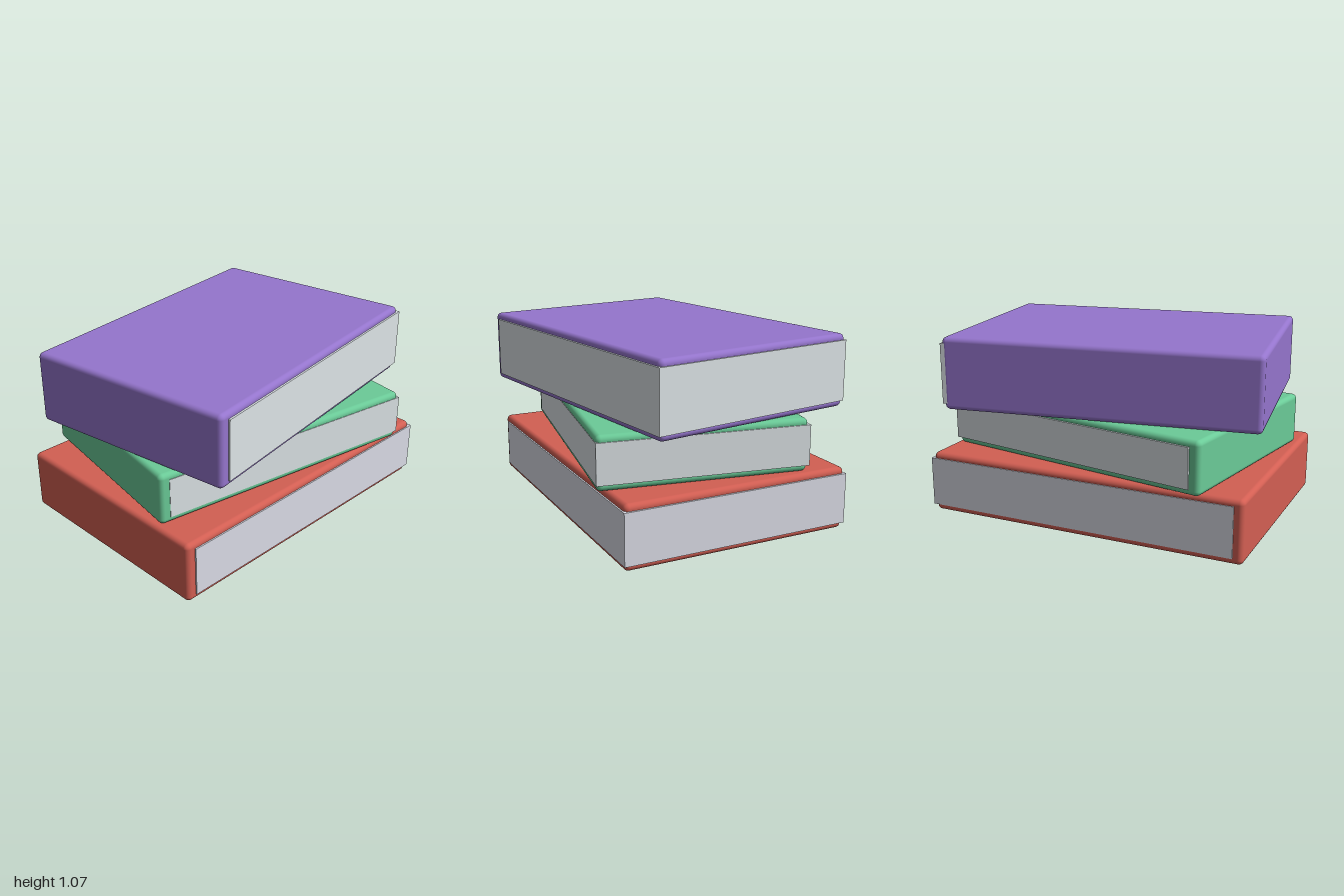
import * as THREE from 'three';
import { RoundedBoxGeometry } from 'three/addons/geometries/RoundedBoxGeometry.js';

function material(name, color) {
  const m = new THREE.MeshStandardMaterial({ color });
  m.name = name;
  return m;
}

export function createModel() {
  const model = new THREE.Group();
  model.name = 'bookStack';

  const red = material('red cover', 0xd35f53);
  const green = material('green cover', 0x6bcb98);
  const purple = material('purple cover', 0x9575cd);
  const paper = material('paper', 0xdfe6e9);
  const coolPaper = material('cool paper', 0xdcdee8);

  // cover and pages: [width, depth]; turn is about the vertical axis
  const books = [
    { name: 'bottomBook', base: 0, height: 0.357, cover: [1.896, 1.326], pages: [1.853, 1.339], turn: 0.05, skin: red, leaf: coolPaper },
    { name: 'middleBook', base: 0.357, height: 0.298, cover: [1.663, 1.166], pages: [1.61, 1.179], turn: -0.12, skin: green, leaf: paper },
    { name: 'topBook', base: 0.655, height: 0.413, cover: [1.783, 1.246], pages: [1.735, 1.255], turn: 0.2, skin: purple, leaf: paper },
  ];

  for (const b of books) {
    const book = new THREE.Group();
    book.name = b.name;
    book.position.set(-0.011, b.base + b.height / 2, 0.002);

    // rounded cover with the spine at -x
    const cover = new THREE.Mesh(new RoundedBoxGeometry(b.cover[0], b.height, b.cover[1], 3, 0.028), b.skin);
    cover.name = 'cover';

    // page block, slid away from the spine
    const pages = new THREE.Mesh(new THREE.BoxGeometry(b.pages[0], b.height - 0.07, b.pages[1]), b.leaf);
    pages.name = 'pages';
    pages.position.x = 0.033;

    cover.rotation.y = pages.rotation.y = b.turn;
    book.add(cover, pages);
    model.add(book);
  }
  return model;
}
